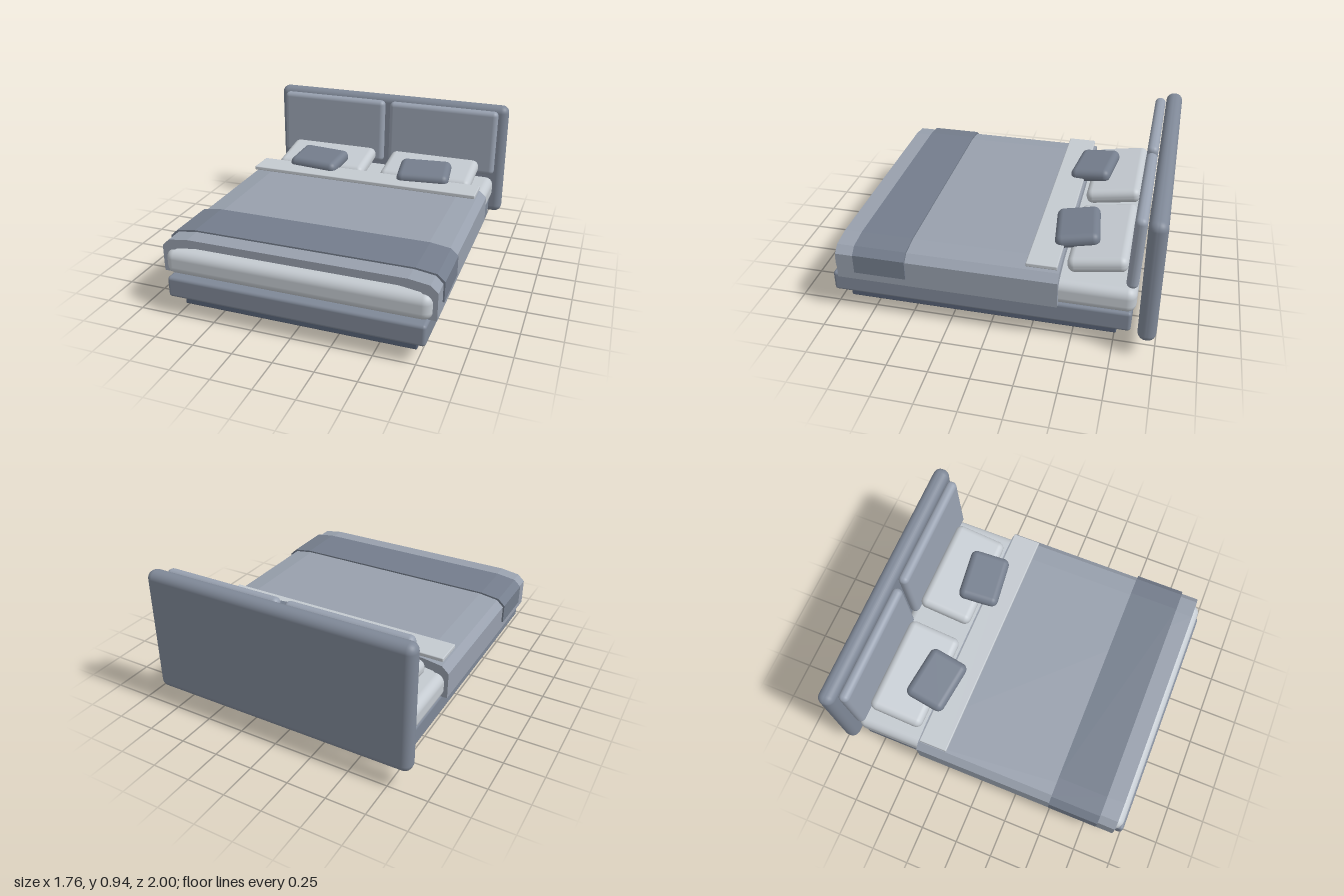
import * as THREE from 'three';
import { RoundedBoxGeometry } from 'three/addons/geometries/RoundedBoxGeometry.js';

const material = (color) => new THREE.MeshStandardMaterial({ color });

export function createModel() {
  const bed = new THREE.Group();
  const linen = material(0xc4cad0);
  const duvetFabric = material(0x98a0ad);
  const accent = material(0x747d8c);
  const upholstery = material(0x7f8897);
  const panelFabric = material(0x98a1b0);
  const dark = material(0x566175);

  const add = (name, geometry, mat, x, y, z) => {
    const mesh = new THREE.Mesh(geometry, mat);
    mesh.name = name;
    mesh.position.set(x, y, z);
    bed.add(mesh);
    return mesh;
  };
  const soft = (w, h, d, r) => new RoundedBoxGeometry(w, h, d, 4, r);

  // Draped cover: an arched sleeve with bevelled shoulders and open underside
  const drape = (halfWidth, bottom, top, thickness, length) => {
    const side = (w, t, s) => [
      [s * w, bottom], [s * w, t - 0.06], [s * (w - 0.045), t - 0.018], [s * (w - 0.17), t],
    ];
    const outer = [...side(halfWidth, top, 1), ...side(halfWidth, top, -1).reverse()];
    const inW = halfWidth - thickness;
    const inT = top - thickness;
    const inner = [...side(inW, inT, -1), ...side(inW, inT, 1).reverse()];
    const shape = new THREE.Shape([...outer, ...inner].map(([x, y]) => new THREE.Vector2(x, y)));
    return new THREE.ExtrudeGeometry(shape, { depth: length, bevelEnabled: false });
  };

  // Plinth, frame and mattress
  add('plinth', soft(1.47, 0.085, 1.685, 0.008), dark, 0, 0.083, 0.078);
  add('bedFrame', soft(1.6, 0.135, 1.85, 0.02), upholstery, 0, 0.1875, 0.075);
  add('mattress', soft(1.64, 0.16, 1.85, 0.055), linen, 0, 0.34, 0.055);

  // Feet
  for (const x of [-0.64, 0.64]) {
    for (const z of [-0.69, 0.775]) {
      add('foot', new THREE.CylinderGeometry(0.029, 0.029, 0.05, 20), dark, x, 0.025, z);
    }
  }

  // Headboard
  add('headboard', soft(1.76, 0.815, 0.108, 0.05), upholstery, 0, 0.5275, -0.946);

  // Bedding
  add('duvet', drape(0.845, 0.265, 0.495, 0.05, 1.36), duvetFabric, 0, 0, -0.42);
  add('throwBlanket', drape(0.855, 0.32, 0.505, 0.025, 0.325), accent, 0, 0, 0.5);
  add('sheetFold', soft(1.6, 0.026, 0.185, 0.006), linen, 0, 0.508, -0.315);

  // Mirrored headboard panels, pillows and cushions
  for (const s of [-1, 1]) {
    const panel = add('headboardPanel', soft(0.8, 0.47, 0.07, 0.033), panelFabric, s * 0.42, 0.677, -0.845);
    panel.rotation.x = -0.04;

    const pillow = add('pillow', soft(0.655, 0.1, 0.36, 0.045), linen, s * 0.39, 0.49, -0.625);
    pillow.rotation.x = 0.16;

    const cushion = add('cushion', soft(0.36, 0.09, 0.27, 0.043), accent, s * 0.393, 0.54, -0.465);
    cushion.rotation.set(0.14, s * 0.12, 0, 'YXZ');
  }
  return bed;
}
